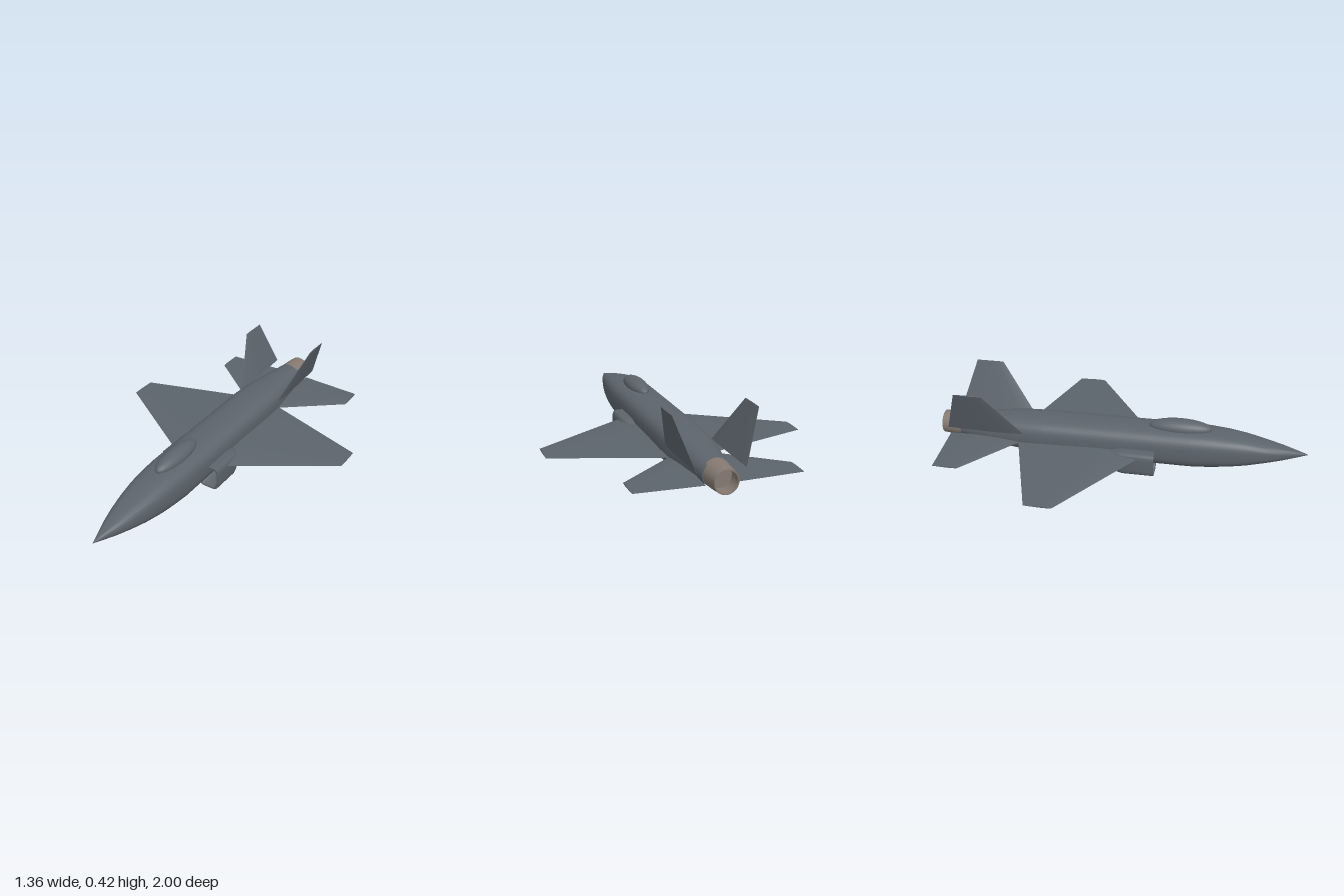
import * as THREE from 'three';
import { toCreasedNormals } from 'three/addons/utils/BufferGeometryUtils.js';

const hull = new THREE.MeshStandardMaterial({ color: 0x5c646c });
hull.name = 'hullGrey';
const metal = new THREE.MeshStandardMaterial({ color: 0x857a72, side: THREE.DoubleSide });
metal.name = 'nozzleMetal';

// Closed skin over a list of rings of equal length, wound outwards
function loft(rings, crease = 0.6) {
  const n = rings[0].length;
  const pos = rings.flat().flatMap((p) => p.toArray());
  const idx = [];
  for (let i = 0; i < rings.length - 1; i++) {
    for (let j = 0; j < n; j++) {
      const a = i * n + j, b = i * n + (j + 1) % n;
      idx.push(a, b, a + n, b, b + n, a + n);
    }
  }
  // end caps as fans round the ring centre
  [0, rings.length - 1].forEach((r, end) => {
    const mid = rings[r].reduce((s, p) => s.add(p), new THREE.Vector3()).divideScalar(n);
    const c = pos.length / 3;
    pos.push(mid.x, mid.y, mid.z);
    for (let j = 0; j < n; j++) {
      const a = r * n + j, b = r * n + (j + 1) % n;
      if (end) idx.push(a, b, c); else idx.push(b, a, c);
    }
  });
  // a negative volume means the faces point inwards
  let volume = 0;
  const v = (k) => new THREE.Vector3().fromArray(pos, k * 3);
  for (let i = 0; i < idx.length; i += 3) volume += v(idx[i]).dot(v(idx[i + 1]).cross(v(idx[i + 2])));
  if (volume < 0) idx.reverse();
  const g = new THREE.BufferGeometry();
  g.setAttribute('position', new THREE.Float32BufferAttribute(pos, 3));
  g.setIndex(idx);
  return toCreasedNormals(g, crease);
}

// Rounded-square ring in a plane of constant z
function ring(cx, cy, z, hx, hy, power, n = 40) {
  return Array.from({ length: n }, (_, i) => {
    const t = (i / n) * Math.PI * 2, c = Math.cos(t), s = Math.sin(t);
    return new THREE.Vector3(
      cx + hx * Math.sign(c) * Math.abs(c) ** (2 / power),
      cy + hy * Math.sign(s) * Math.abs(s) ** (2 / power), z);
  });
}

// Flying surface between two stations [x, y, leading z, trailing z, half thickness]
function surface(root, tip, side) {
  const [dx, dy] = [tip[0] - root[0], tip[1] - root[1]];
  const len = Math.hypot(dx, dy);
  const foil = [[0, 0], [0.06, 0.5], [0.2, 0.9], [0.4, 1], [0.7, 0.6], [1, 0.08],
    [1, -0.08], [0.7, -0.6], [0.4, -1], [0.2, -0.9], [0.06, -0.5]];
  return loft([root, tip].map(([x, y, z0, z1, h]) => foil.map(([c, t]) => new THREE.Vector3(
    side * (x - (t * h * dy) / len), y + (t * h * dx) / len, z0 + (z1 - z0) * c))));
}

export function createModel() {
  const model = new THREE.Group();
  model.name = 'jetAircraft';
  const add = (name, geometry, material = hull) => {
    const m = new THREE.Mesh(geometry, material);
    m.name = name;
    model.add(m);
    return m;
  };

  // Fuselage stations: z, centre y, half width, half height, squareness
  const stations = [
    [1, 0.13, 0.001, 0.001, 2.6], [0.94, 0.13, 0.022, 0.017, 2.7], [0.87, 0.13, 0.046, 0.034, 2.8],
    [0.78, 0.13, 0.07, 0.053, 2.9], [0.68, 0.13, 0.09, 0.073, 3], [0.58, 0.13, 0.105, 0.087, 3],
    [0.48, 0.129, 0.114, 0.096, 3], [0.38, 0.128, 0.12, 0.1, 3], [-0.42, 0.128, 0.12, 0.1, 3],
    [-0.52, 0.13, 0.116, 0.096, 2.9], [-0.62, 0.132, 0.108, 0.088, 2.7],
    [-0.75, 0.133, 0.093, 0.077, 2.3], [-0.89, 0.134, 0.075, 0.066, 2],
  ];
  add('fuselage', loft(stations.map(([z, y, hx, hy, p]) => ring(0, y, z, hx, hy, p))));

  // Canopy bubble
  const canopy = add('canopy', new THREE.SphereGeometry(1, 32, 20));
  canopy.scale.set(0.055, 0.045, 0.17);
  canopy.position.set(0, 0.23, 0.32);

  // Hollow exhaust nozzle
  const nozzle = [[0.072, 0.87], [0.068, 0.93], [0.061, 1], [0.055, 1], [0.058, 0.92], [0, 0.92]]
    .map(([r, z]) => new THREE.Vector2(r, z));
  const nozzleGeometry = new THREE.LatheGeometry(nozzle, 32).rotateX(-Math.PI / 2).translate(0, 0.134, 0);
  add('exhaustNozzle', toCreasedNormals(nozzleGeometry, 0.6), metal);

  for (const [side, label] of [[1, 'left'], [-1, 'right']]) {
    add(label + 'Wing', surface([0.05, 0.108, 0.19, -0.572, 0.017], [0.68, 0.108, -0.225, -0.37, 0.003], side));
    add(label + 'Tailplane', surface([0.08, 0.108, -0.52, -0.945, 0.009], [0.42, 0.108, -0.795, -0.932, 0.003], side));
    add(label + 'TailFin', surface([0.122, 0.17, -0.52, -0.94, 0.007], [0.211, 0.424, -0.71, -0.86, 0.003], side));

    // Intake: duct floor, throat, lip, outer shell and tail fairing
    const duct = [
      [0.108, 0.075, 0.03, 0.012, 0.012, 3], [0.121, 0.07, 0.2, 0.049, 0.057, 5],
      [0.121, 0.07, 0.2, 0.057, 0.065, 5], [0.121, 0.07, 0.03, 0.057, 0.065, 5],
      [0.116, 0.07, 0, 0.054, 0.063, 4.5], [0.11, 0.072, -0.04, 0.044, 0.05, 4],
      [0.1, 0.074, -0.09, 0.03, 0.028, 3], [0.09, 0.075, -0.15, 0.012, 0.006, 2],
    ];
    add(label + 'Intake', loft(duct.map(([x, y, z, hx, hy, p]) => ring(side * x, y, z, hx, hy, p))));
  }
  return model;
}
